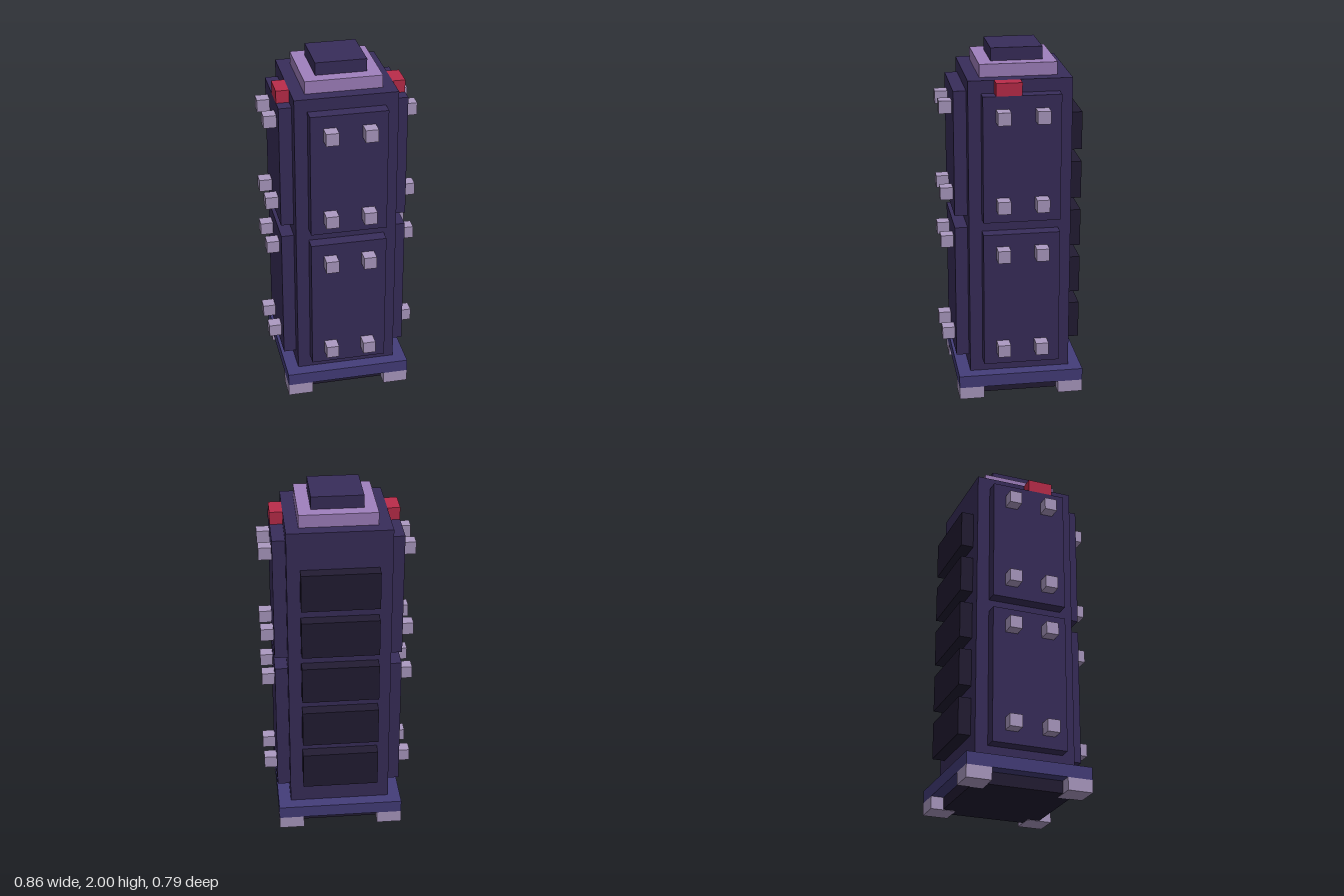
import * as THREE from 'three';

// One grid unit: the whole tower is 28 units tall
const U = 2 / 28;
const mat = (color) => new THREE.MeshStandardMaterial({ color, flatShading: true });

export function createModel() {
  const model = new THREE.Group();
  const shell = mat(0x382d5a), slab = mat(0x443d7a), dark = mat(0x221c33);
  const stud = mat(0xac9ac2), trim = mat(0xa080be), red = mat(0xbb2c4a);

  // Tower axis sits slightly behind the centre, as the front studs project further
  const tower = new THREE.Group();
  tower.name = 'tower';
  tower.position.z = -0.5 * U;
  model.add(tower);

  // Box from min and max corners, in grid units about the tower axis
  function box(name, material, [x0, y0, z0], [x1, y1, z1], parent = tower) {
    const geometry = new THREE.BoxGeometry((x1 - x0) * U, (y1 - y0) * U, (z1 - z0) * U);
    const mesh = new THREE.Mesh(geometry, material);
    mesh.name = name;
    mesh.position.set((x0 + x1) / 2 * U, (y0 + y1) / 2 * U, (z0 + z1) / 2 * U);
    parent.add(mesh);
  }

  // Stacked core: underside, base, body and stepped cap
  box('undersidePlate', dark, [-4, 0.03, -4], [4, 1, 4]);
  box('baseSlab', slab, [-5, 1, -5], [5, 2, 5]);
  box('body', shell, [-4, 2, -4], [4, 26, 4]);
  box('capTrim', trim, [-3, 26, -3], [3, 27, 3]);
  box('capTop', shell, [-2, 27, -2], [2, 28, 2]);

  // Corner feet
  for (const x of [-5, 3])
    for (const z of [-5, 3]) box('foot', stud, [x, 0, z], [x + 2, 1, z + 2]);

  // Two studded panels on the front and on both sides
  for (const turn of [-1, 0, 1]) {
    const face = new THREE.Group();
    face.name = ['rightPanels', 'frontPanels', 'leftPanels'][turn + 1];
    face.rotation.y = turn * Math.PI / 2;
    tower.add(face);
    box('lowerPanel', shell, [-3, 3, 4], [3, 14, 5], face);
    box('upperPanel', shell, [-3, 15, 4], [3, 25, 5], face);
    for (const y of [4, 12, 16, 23])
      for (const x of [-2, 1]) box('stud', stud, [x, y, 5], [x + 1, y + 1, 6], face);
  }

  // Red lamps on top of the side panels
  for (const x of [-5, 4]) box('sideLamp', red, [x, 25, 0], [x + 1, 26, 2]);

  // Back vents
  for (let i = 0; i < 5; i++) box('backVent', dark, [-3, 4 + 4 * i, -5], [3, 7 + 4 * i, -4]);

  return model;
}
